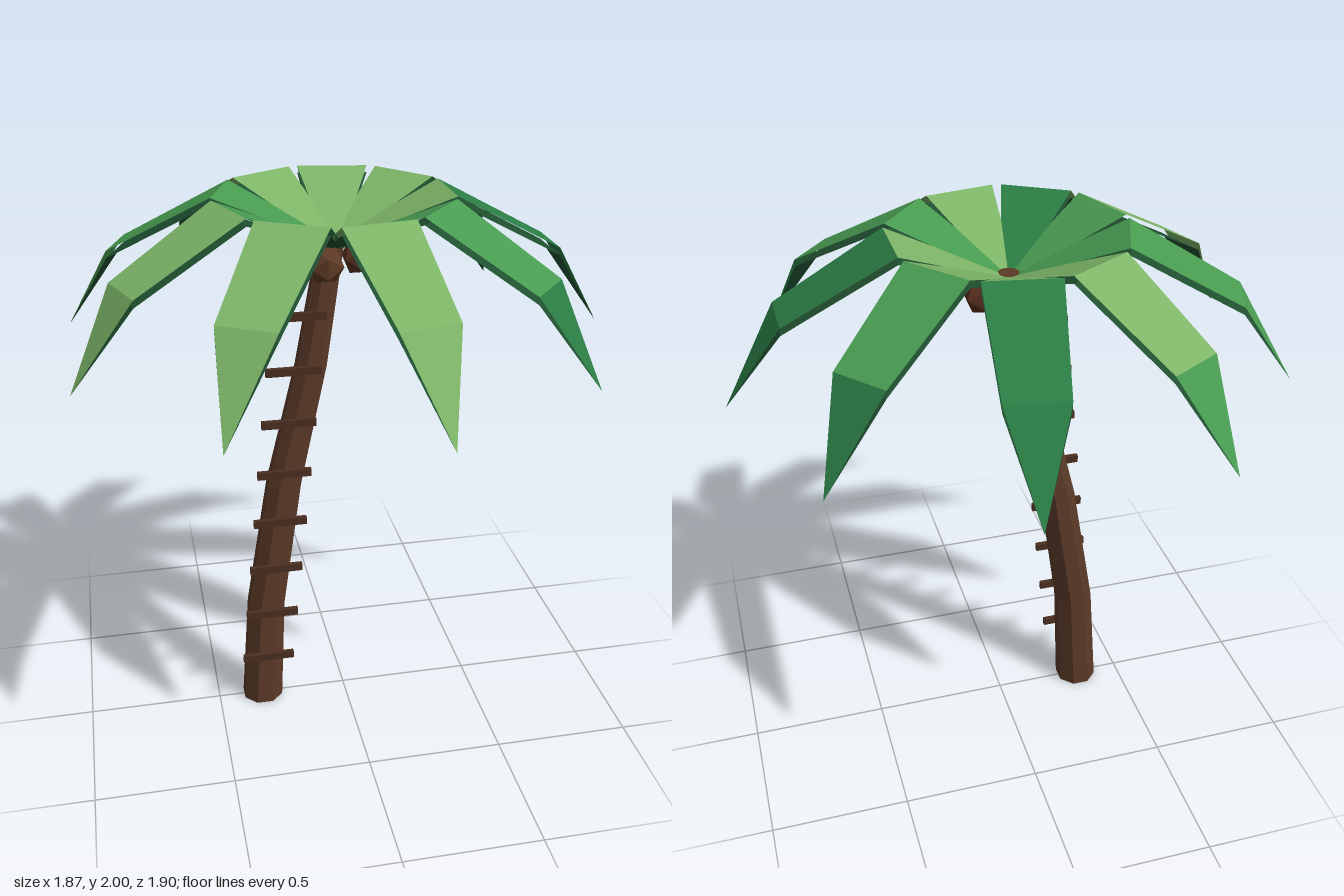
import * as THREE from 'three';

const mat = (color, side = THREE.FrontSide) =>
  new THREE.MeshStandardMaterial({ color, flatShading: true, side });

function add(parent, name, geometry, material) {
  const mesh = new THREE.Mesh(geometry, material);
  mesh.name = name;
  parent.add(mesh);
  return mesh;
}

// One flat piece of leaf between two cross-sections [r, y, halfWidth]
function leafSheet([r0, y0, w0], [r1, y1, w1], facesDown) {
  const g = new THREE.BufferGeometry();
  g.setAttribute('position', new THREE.Float32BufferAttribute(
    [r0, y0, -w0, r0, y0, w0, r1, y1, w1, r1, y1, -w1], 3));
  const index = w1 > 0 ? [0, 1, 2, 0, 2, 3] : [0, 1, 2];
  g.setIndex(facesDown ? index.reverse() : index);
  g.computeVertexNormals();
  return g;
}

export function createModel() {
  const model = new THREE.Group();
  model.name = 'palmTree';

  // Leaning trunk: a cylinder whose rings follow a bent centre line
  const rings = [ // x, y, radius
    [-0.328, 0, 0.08], [-0.302, 0.43, 0.073], [-0.222, 0.94, 0.066],
    [-0.115, 1.4, 0.058], [-0.04, 1.85, 0.047],
  ];
  const trunk = new THREE.CylinderGeometry(1, 1, 1, 8, rings.length - 1);
  trunk.rotateY(Math.PI / 8);
  const p = trunk.attributes.position;
  for (let i = 0; i < p.count; i++) {
    const [x, y, r] = rings[Math.round((p.getY(i) + 0.5) * (rings.length - 1))];
    p.setXYZ(i, x + p.getX(i) * r, y, p.getZ(i) * r);
  }
  trunk.computeVertexNormals();
  add(model, 'trunk', trunk, mat(0x5c3a28));

  // Ladder rungs on the front of the trunk
  const rungMat = mat(0x4a2f20);
  const rungGeo = new THREE.BoxGeometry(0.195, 0.028, 0.018);
  for (let i = 0; i < 8; i++)
    add(model, 'rung', rungGeo, rungMat).position.set(-0.31 + i * 0.0198, 0.23 + i * 0.197, 0.086);

  // Coconuts around the top of the trunk
  const nutGeo = new THREE.IcosahedronGeometry(0.068);
  [0x5a3020, 0x5e3a24, 0x7d5a22].forEach((color, i) => {
    const a = i * Math.PI * 2 / 3;
    add(model, 'coconut', nutGeo, mat(color))
      .position.set(-0.03 + 0.09 * Math.cos(a), 1.78, 0.09 * Math.sin(a));
  });

  // Nine fronds: each an upper and a lower sheet that meet at the tip
  const greens = {
    A: mat(0x7db567, THREE.DoubleSide),
    B: mat(0x489b51, THREE.DoubleSide),
    C: mat(0x2b7d45, THREE.DoubleSide),
  };
  const underMat = mat(0x1f5030, THREE.DoubleSide);
  const top = [[0, 1.835, 0.025], [0.39, 2, 0.125], [0.77, 1.797, 0.1], [0.965, 1.488, 0]];
  const under = top.map(([r, y, w], i) => [r, i < 3 ? y - 0.025 : y, w]);
  const colours = ['ACC', 'BBC', 'AAA', 'CAA', 'BAA', 'BBB', 'AAB', 'ACC', 'ABC'];
  const parts = ['frondBase', 'frondBlade', 'frondTip'];
  colours.forEach((code, i) => {
    const frond = new THREE.Group();
    frond.name = 'frond';
    frond.position.x = -0.03;
    frond.rotation.y = -i * Math.PI * 2 / 9;
    parts.forEach((name, s) => {
      add(frond, name, leafSheet(top[s], top[s + 1], false), greens[code[s]]);
      add(frond, name + 'Underside', leafSheet(under[s], under[s + 1], true), underMat);
    });
    model.add(frond);
  });

  return model;
}
